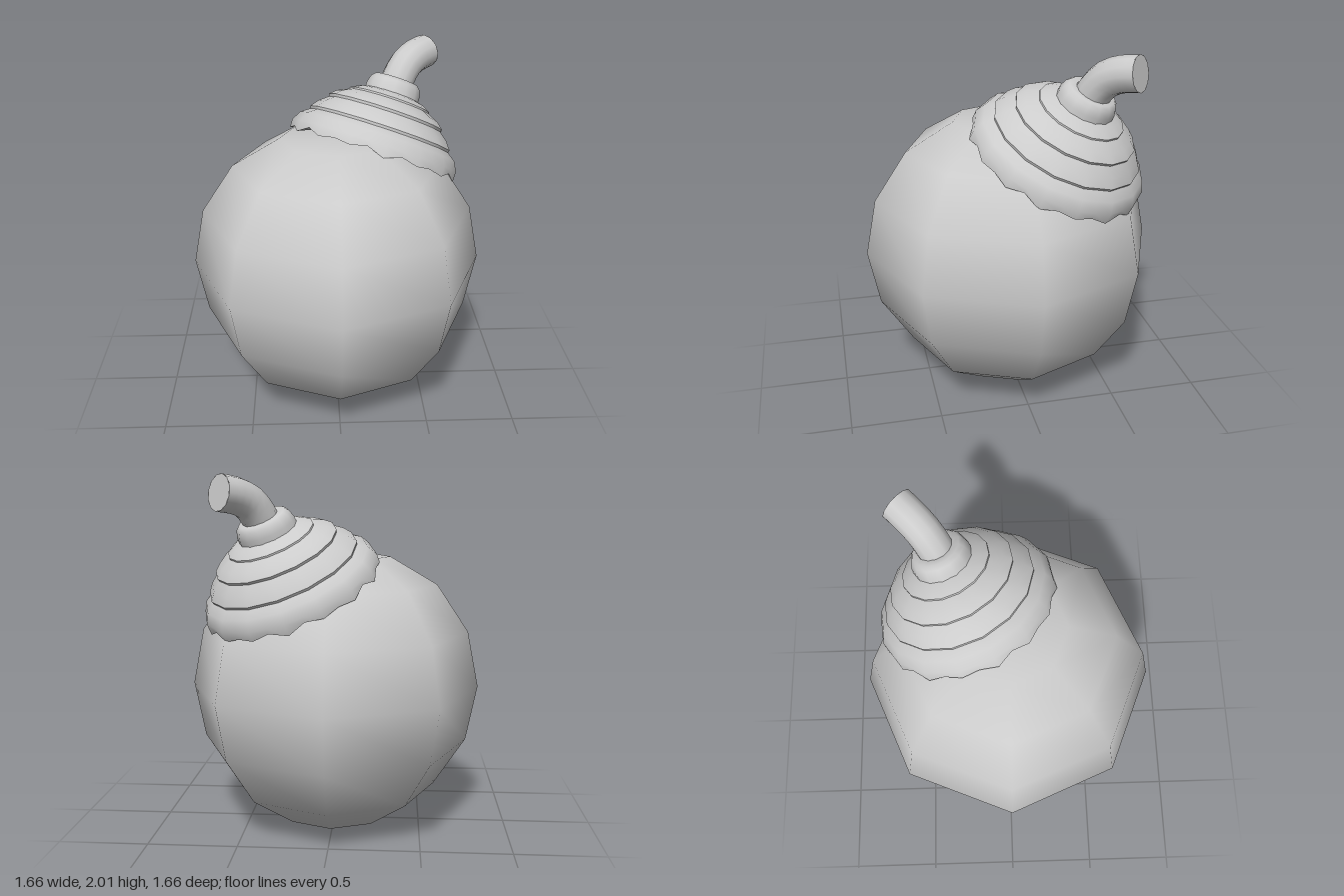
import * as THREE from 'three';
import { toCreasedNormals } from 'three/addons/utils/BufferGeometryUtils.js';

const material = new THREE.MeshStandardMaterial({ color: 0xcccccc, side: THREE.DoubleSide });

function part(name, geometry, parent) {
  const mesh = new THREE.Mesh(geometry, material);
  mesh.name = name;
  parent.add(mesh);
  return mesh;
}

// points are [radius, height], listed from bottom to top
const lathe = (points, sides) =>
  new THREE.LatheGeometry(points.map(([r, y]) => new THREE.Vector2(r, y)), sides);

// Tiered cap: 16-sided tiers with a ruffled rim
function capGeometry() {
  const sides = 32;
  const profile = [
    [0.43, 0.03], [0.505, -0.005], [0.505, 0.045], [0.475, 0.1], [0.425, 0.135],
    [0.43, 0.15], [0.395, 0.195], [0.345, 0.235],
    [0.35, 0.25], [0.31, 0.285], [0.245, 0.315],
    [0.245, 0.325], [0.2, 0.35], [0.13, 0.37],
  ];
  const geometry = lathe(profile, sides);
  const pos = geometry.attributes.position;
  for (let i = 0; i < pos.count; i++) {
    const row = i % profile.length;
    const column = Math.floor(i / profile.length) % sides;
    const odd = column % 2 === 1;
    const scale = odd ? 0.98 : 1;
    const ruffle = row === 1 ? (odd ? 0.016 : -0.008) + 0.008 * Math.sin(column * 2.5 * Math.PI / 4) : 0;
    pos.setXYZ(i, pos.getX(i) * scale, pos.getY(i) + ruffle, pos.getZ(i) * scale);
  }
  return toCreasedNormals(geometry, 0.75);
}

export function createModel() {
  const model = new THREE.Group();
  model.name = 'cappedBall';

  // Eight-sided ball, slightly flattened at both poles
  part('body', lathe([
    [0, 0], [0.318, 0.045], [0.587, 0.225], [0.767, 0.495], [0.83, 0.812],
    [0.767, 1.13], [0.587, 1.4], [0.318, 1.558], [0, 1.56],
  ], 8), model);

  // Everything on top leans along one diagonal
  const top = new THREE.Group();
  top.name = 'top';
  top.rotation.y = Math.PI / 4;
  model.add(top);

  const cap = new THREE.Group();
  cap.name = 'capAssembly';
  cap.position.set(0.305, 1.385, 0);
  cap.rotation.z = -0.475;
  top.add(cap);
  part('cap', capGeometry(), cap);

  // Collar around the foot of the stem
  part('collar', toCreasedNormals(lathe([
    [0.165, 0.33], [0.163, 0.39], [0.15, 0.43], [0.13, 0.45], [0.09, 0.45],
  ], 14), 0.8), cap);

  // Bent stem with a flat end
  const path = new THREE.CatmullRomCurve3(
    [[0.48, 1.71], [0.525, 1.79], [0.59, 1.86], [0.675, 1.897], [0.775, 1.912]]
      .map(([x, y]) => new THREE.Vector3(x, y, 0)));
  part('stem', new THREE.TubeGeometry(path, 8, 0.097, 12), top);
  const end = part('stemEnd', new THREE.CircleGeometry(0.097, 12), top);
  end.position.copy(path.getPoint(1));
  end.quaternion.setFromUnitVectors(new THREE.Vector3(0, 0, 1), path.getTangent(1));

  return model;
}
